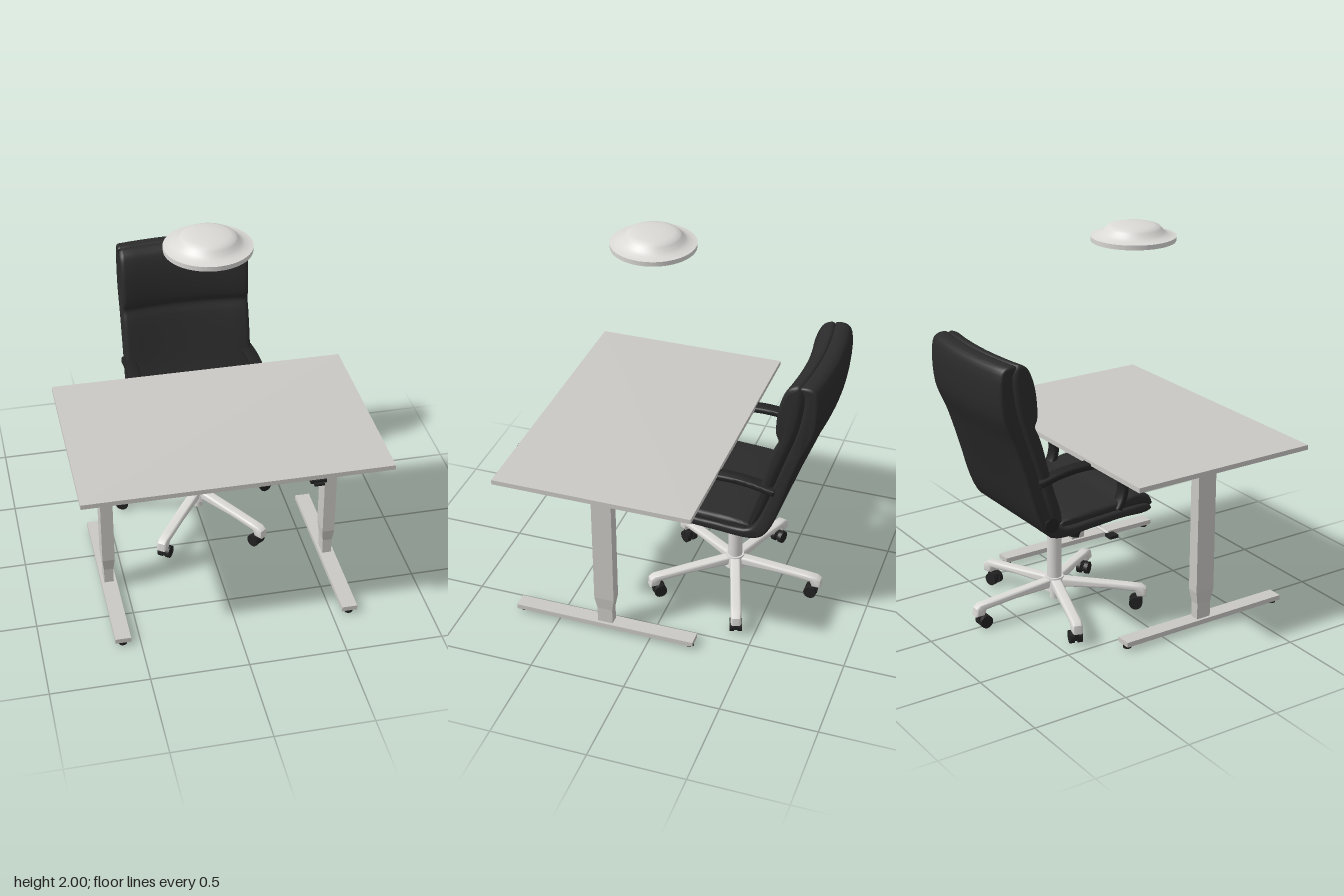
import * as THREE from 'three';
import { toCreasedNormals } from 'three/addons/utils/BufferGeometryUtils.js';

const mat = (name, color) => new THREE.MeshStandardMaterial({ name, color });

export function createModel() {
  const root = new THREE.Group();
  root.name = 'workstation';
  const deskGrey = mat('deskGrey', 0xcac8c4);
  const paleMetal = mat('paleMetal', 0xdad9d6);
  const leather = mat('blackLeather', 0x2b2b2b);
  const plastic = mat('blackPlastic', 0x222222);

  const group = (name, parent = root) => {
    const g = new THREE.Group();
    g.name = name;
    parent.add(g);
    return g;
  };
  const add = (parent, name, geo, material, x = 0, y = 0, z = 0) => {
    const m = new THREE.Mesh(geo, material);
    m.name = name;
    m.position.set(x, y, z);
    parent.add(m);
    return m;
  };
  // Box given by its limits on each axis
  const block = (parent, name, material, [x0, x1], [y0, y1], [z0, z1]) =>
    add(parent, name, new THREE.BoxGeometry(x1 - x0, y1 - y0, z1 - z0), material,
      (x0 + x1) / 2, (y0 + y1) / 2, (z0 + z1) / 2);
  // Side outline of [z, y] points, extruded across x with rounded edges
  const sideExtrude = (points, width, bevel, { smooth = 0, steps = 1, bend = null } = {}) => {
    let pts = points.map(([z, y]) => new THREE.Vector3(z, y, 0));
    if (smooth) pts = new THREE.CatmullRomCurve3(pts, true, 'centripetal').getPoints(smooth).slice(0, -1);
    const shape = new THREE.Shape(pts.map((p) => new THREE.Vector2(p.x, p.y)));
    const depth = width - 2 * bevel;
    const geo = new THREE.ExtrudeGeometry(shape, {
      depth, steps, bevelEnabled: true, bevelThickness: bevel, bevelSize: bevel,
      bevelOffset: -bevel, bevelSegments: 4,
    });
    geo.translate(0, 0, -depth / 2).rotateY(-Math.PI / 2);
    if (bend) {
      const p = geo.attributes.position;
      for (let i = 0; i < p.count; i++) p.setZ(i, p.getZ(i) + bend(p.getX(i), p.getY(i)));
    }
    return toCreasedNormals(geo, 0.7);
  };

  // Desk
  const desk = group('desk');
  block(desk, 'tabletop', deskGrey, [-0.773, 0.773], [0.908, 0.933], [-0.274, 0.757]);
  for (const z of [0.205, 0.285])
    block(desk, 'crossRail', deskGrey, [-0.4, 0.4], [0.85, 0.905], [z - 0.012, z + 0.012]);
  for (const s of [-1, 1]) {
    const leg = group(s > 0 ? 'leftDeskLeg' : 'rightDeskLeg', desk);
    leg.position.set(s * 0.59, 0, 0.245);
    block(leg, 'topBracket', deskGrey, [-0.035, 0.035], [0.865, 0.908], [-0.28, 0.285]);
    const inner = s > 0 ? [-0.23, 0.035] : [-0.035, 0.23];
    block(leg, 'railHousing', deskGrey, inner, [0.845, 0.907], [-0.06, 0.06]);
    block(leg, 'collar', deskGrey, [-0.025, 0.025], [0.82, 0.85], [-0.045, 0.045]);
    block(leg, 'outerColumn', deskGrey, [-0.032, 0.032], [0.2, 0.835], [-0.053, 0.053]);
    const taper = new THREE.CylinderGeometry(Math.SQRT1_2, 0.54, 0.07, 4, 1);
    taper.rotateY(Math.PI / 4).scale(0.064, 1, 0.106);
    add(leg, 'columnTaper', toCreasedNormals(taper, 0.3), deskGrey, 0, 0.165, 0);
    block(leg, 'innerColumn', deskGrey, [-0.0245, 0.0245], [0.04, 0.135], [-0.0405, 0.0405]);
    block(leg, 'foot', deskGrey, [-0.04, 0.04], [0.02, 0.046], [-0.48, 0.49]);
    for (const z of [-0.455, 0.465])
      add(leg, 'footGlide', new THREE.CylinderGeometry(0.022, 0.022, 0.02, 16), plastic, 0, 0.01, z);
  }
  block(desk, 'heightControl', plastic, [0.345, 0.425], [0.891, 0.907], [0.69, 0.765]);
  block(desk, 'controlPaddle', plastic, [0.36, 0.41], [0.886, 0.897], [0.755, 0.781]);

  // Hanging lamp
  const lampProfile = [[0, 1.912], [0.214, 1.912], [0.215, 1.936], [0.2, 1.938], [0.175, 1.945],
    [0.155, 1.957], [0.142, 1.974], [0.13, 1.985], [0.105, 1.993], [0.06, 1.998], [0, 2]];
  const lampGeo = new THREE.LatheGeometry(lampProfile.map(([r, y]) => new THREE.Vector2(r, y)), 48);
  add(root, 'ceilingLamp', toCreasedNormals(lampGeo.toNonIndexed(), 0.7), paleMetal, -0.04, 0, 0.19);

  // Office chair: upholstery
  const chair = group('officeChair');
  const bend = (x, y) => 0.03 * (x / 0.345) ** 2 * THREE.MathUtils.smoothstep(y, 0.65, 1.1);
  const soft = { smooth: 90, steps: 10, bend };
  add(chair, 'outerShell', sideExtrude([
    [-0.7, 1.485], [-0.75, 1.49], [-0.782, 1.465], [-0.782, 1.25], [-0.72, 1.09], [-0.64, 0.885],
    [-0.515, 0.59], [-0.45, 0.555], [-0.25, 0.563], [-0.07, 0.575], [0.08, 0.575], [0.108, 0.59],
    [0.09, 0.615], [-0.07, 0.617], [-0.25, 0.608], [-0.42, 0.605], [-0.47, 0.645], [-0.575, 0.9],
    [-0.645, 1.08], [-0.705, 1.28], [-0.72, 1.44],
  ], 0.685, 0.014, { ...soft, smooth: 110 }), leather);
  add(chair, 'backCushion', sideExtrude([
    [-0.69, 1.49], [-0.64, 1.47], [-0.605, 1.4], [-0.586, 1.3], [-0.585, 1.2], [-0.597, 1.165],
    [-0.575, 1.11], [-0.5, 0.88], [-0.425, 0.66], [-0.44, 0.625], [-0.475, 0.665], [-0.568, 0.9],
    [-0.637, 1.08], [-0.697, 1.28], [-0.712, 1.45],
  ], 0.685, 0.024, soft), leather);
  add(chair, 'seatCushion', sideExtrude([
    [0.112, 0.625], [0.085, 0.668], [0.02, 0.69], [-0.1, 0.672], [-0.4, 0.648], [-0.445, 0.63],
    [-0.42, 0.612], [-0.25, 0.614], [-0.07, 0.622], [0.07, 0.62], [0.105, 0.607],
  ], 0.69, 0.022, { smooth: 80 }), leather);

  // Looped armrests: a flat band following a side curve
  const armLine = new THREE.CatmullRomCurve3([
    [-0.565, 0.865], [-0.42, 0.895], [-0.28, 0.902], [-0.18, 0.885], [-0.1, 0.835],
    [-0.062, 0.76], [-0.07, 0.69], [-0.1, 0.63],
  ].map(([z, y]) => new THREE.Vector3(z, y, 0)));
  const outer = [], innerEdge = [];
  for (let i = 0; i <= 32; i++) {
    const p = armLine.getPointAt(i / 32), t = armLine.getTangentAt(i / 32);
    outer.push([p.x - t.y * 0.017, p.y + t.x * 0.017]);
    innerEdge.unshift([p.x + t.y * 0.017, p.y - t.x * 0.017]);
  }
  const armGeo = sideExtrude([...outer, ...innerEdge], 0.07, 0.012);
  for (const s of [-1, 1]) add(chair, s > 0 ? 'leftArmrest' : 'rightArmrest', armGeo, plastic, s * 0.327);

  // Tilt mechanism, lever and knobs
  const mech = group('tiltMechanism', chair);
  add(mech, 'mountPlate', sideExtrude([
    [0, 0.575], [-0.32, 0.565], [-0.32, 0.54], [-0.12, 0.525], [-0.02, 0.53],
  ], 0.2, 0.006), plastic);
  add(mech, 'mechanismBody', sideExtrude([
    [-0.04, 0.54], [-0.16, 0.54], [-0.335, 0.465], [-0.325, 0.425], [-0.24, 0.425], [-0.05, 0.5],
  ], 0.15, 0.012), plastic);
  const tension = group('tensionKnob', mech);
  tension.position.set(0, 0.43, -0.145);
  tension.rotation.x = 0.3;
  add(tension, 'knobStem', new THREE.CylinderGeometry(0.035, 0.03, 0.08, 20), plastic, 0, 0.03, 0);
  add(tension, 'knobGrip', new THREE.CylinderGeometry(0.045, 0.04, 0.05, 20), plastic, 0, -0.03, 0);
  const rod = new THREE.CylinderGeometry(0.007, 0.007, 0.2, 10).rotateZ(Math.PI / 2);
  add(mech, 'leverRod', rod, paleMetal, -0.165, 0.467, -0.1);
  block(mech, 'leverPaddle', plastic, [-0.31, -0.26], [0.458, 0.474], [-0.125, -0.075]);
  const sideKnob = new THREE.CylinderGeometry(0.038, 0.016, 0.04, 20).rotateZ(Math.PI / 2);
  add(chair, 'sideKnob', sideKnob, plastic, -0.365, 0.655, -0.515);

  // Gas column and five-star base
  const base = group('starBase', chair);
  base.position.z = -0.267;
  add(base, 'gasColumn', new THREE.CylinderGeometry(0.038, 0.038, 0.27, 28), paleMetal, 0, 0.295, 0);
  add(base, 'columnFoot', new THREE.CylinderGeometry(0.027, 0.025, 0.12, 24), paleMetal, 0, 0.11, 0);
  add(base, 'hub', new THREE.CylinderGeometry(0.048, 0.058, 0.07, 28), paleMetal, 0, 0.14, 0);
  const spokeGeo = sideExtrude([
    [0.02, 0.17], [0.25, 0.151], [0.4, 0.137], [0.455, 0.132], [0.478, 0.115], [0.482, 0.07],
    [0.432, 0.07], [0.42, 0.1], [0.25, 0.115], [0.02, 0.12],
  ], 0.055, 0.012);
  const wheelGeo = new THREE.CylinderGeometry(0.034, 0.034, 0.022, 20).rotateZ(Math.PI / 2);
  for (let i = 0; i < 5; i++) {
    const arm = group('baseArm', base);
    arm.rotation.y = Math.PI + (i * 2 * Math.PI) / 5;
    add(arm, 'spoke', spokeGeo, paleMetal);
    add(arm, 'casterStem', new THREE.CylinderGeometry(0.012, 0.012, 0.05, 12), plastic, 0, 0.06, 0.445);
    block(arm, 'casterHood', plastic, [-0.01, 0.01], [0.025, 0.06], [0.405, 0.46]);
    for (const s of [-1, 1]) add(arm, 'casterWheel', wheelGeo, plastic, s * 0.021, 0.034, 0.425);
  }
  return root;
}
